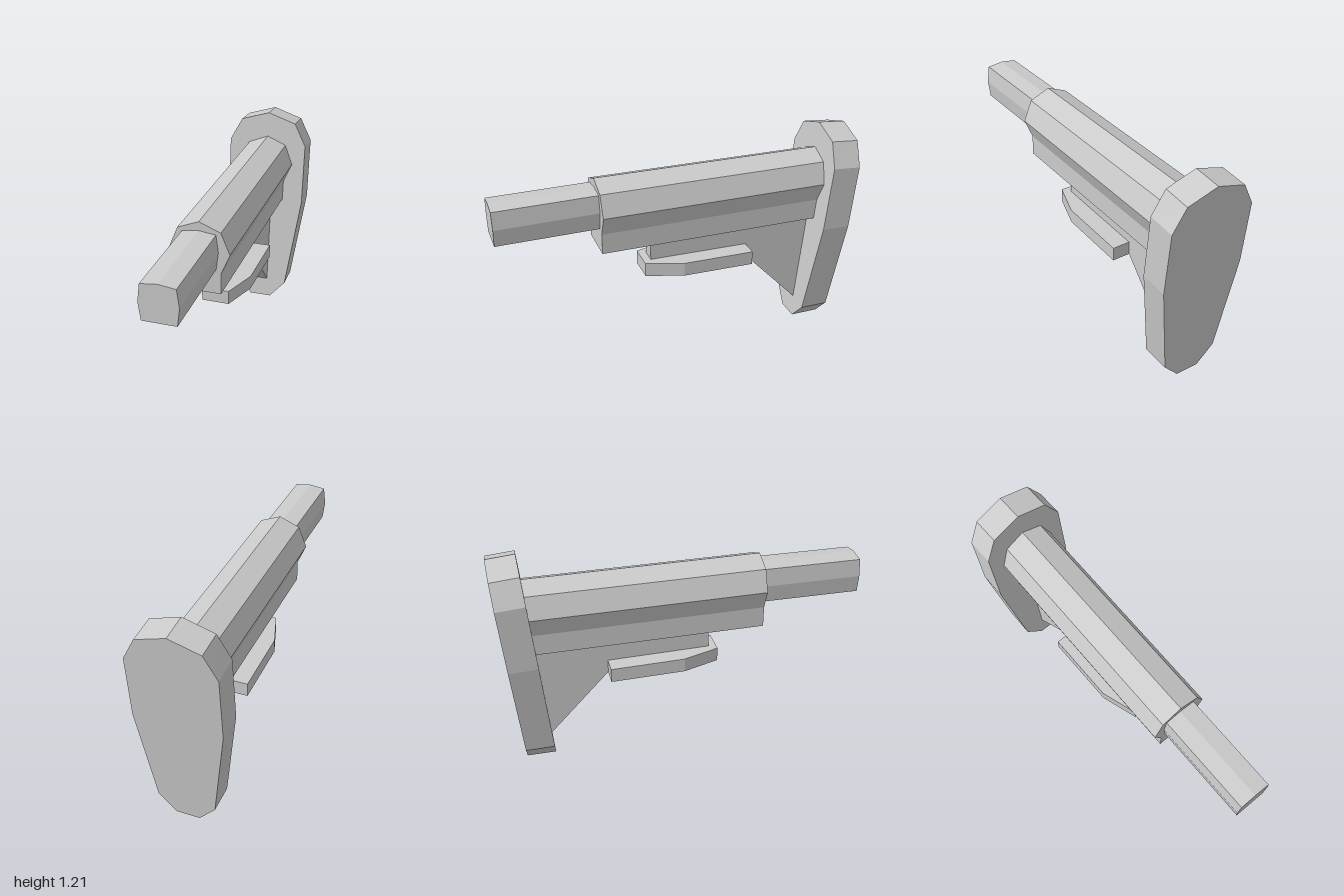
import * as THREE from 'three';

const material = new THREE.MeshStandardMaterial({ color: 0xcccccc, flatShading: true });

// Extrudes an outline from z = 0 to z = depth with sharp edges
function prism(points, depth) {
  const shape = new THREE.Shape(points.map(([x, y]) => new THREE.Vector2(x, y)));
  return new THREE.ExtrudeGeometry(shape, { depth, bevelEnabled: false });
}

// Mirrors a half outline (listed top to bottom on +x) to the other side
function mirrored(half) {
  const other = half.filter(([x]) => x > 0).reverse().map(([x, y]) => [-x, y]);
  return [...half, ...other];
}

// Moves every vertex by a rule
function warp(geometry, rule) {
  const p = geometry.attributes.position;
  const v = new THREE.Vector3();
  for (let i = 0; i < p.count; i++) {
    v.fromBufferAttribute(p, i);
    rule(v);
    p.setXYZ(i, v.x, v.y, v.z);
  }
  geometry.computeVertexNormals();
  return geometry;
}

export function createModel() {
  const group = new THREE.Group();
  const add = (name, geometry) => {
    const mesh = new THREE.Mesh(geometry, material);
    mesh.name = name;
    group.add(mesh);
  };

  // Narrow tube at the front
  const tube = prism(mirrored([[0, 1.025], [0.088, 1.014], [0.1, 0.918], [0.088, 0.822]]), 0.58);
  add('bufferTube', tube.translate(0, 0, 0.42));

  // Main body, dropping slightly to the rear with a keel that deepens
  const body = prism(mirrored([
    [0, 1.074], [0.113, 1.028], [0.16, 0.912], [0.113, 0.8], [0.113, 0.685], [0, 0.685],
  ]), 1);
  add('stockBody', warp(body, (v) => {
    const t = 1 - v.z;
    const keel = v.x === 0 && v.y < 0.7 ? 0.027 : 0;
    v.y -= t * (0.012 + keel);
    v.z = 0.45 - t * 1.3;
  }));

  // Leaning butt pad, a little thicker toward the bottom
  const pad = prism(mirrored([
    [0, 1.206], [0.166, 1.153], [0.235, 1.022], [0.235, 0.66], [0.157, 0.105], [0.065, 0],
  ]), 1);
  add('buttPad', warp(pad, (v) => {
    const front = -0.731 - 0.094 * v.y;
    const back = -0.89 - 0.091 * v.y;
    v.y *= 0.988 + 0.012 * v.z;
    v.z = THREE.MathUtils.lerp(back, front, v.z);
  }));

  // Thin web joining body, lever and pad
  const web = prism([
    [0.16, 0.72], [0.16, 0.5], [-0.4, 0.5], [-0.41, 0.467], [-0.74, 0.12], [-0.8, 0.12], [-0.83, 0.72],
  ], 0.08);
  add('web', web.rotateY(-Math.PI / 2).translate(0.04, 0, 0));

  // Flat lever plate, chamfered toward the front
  const lever = prism([
    [0.075, -0.203], [0.14, 0], [0.14, 0.408], [-0.14, 0.408], [-0.14, 0], [-0.075, -0.203],
  ], 0.078);
  lever.rotateX(-Math.PI / 2);
  add('releaseLever', warp(lever, (v) => { v.y += 0.477 + (v.z - 0.2) * 0.02; }));

  return group;
}
